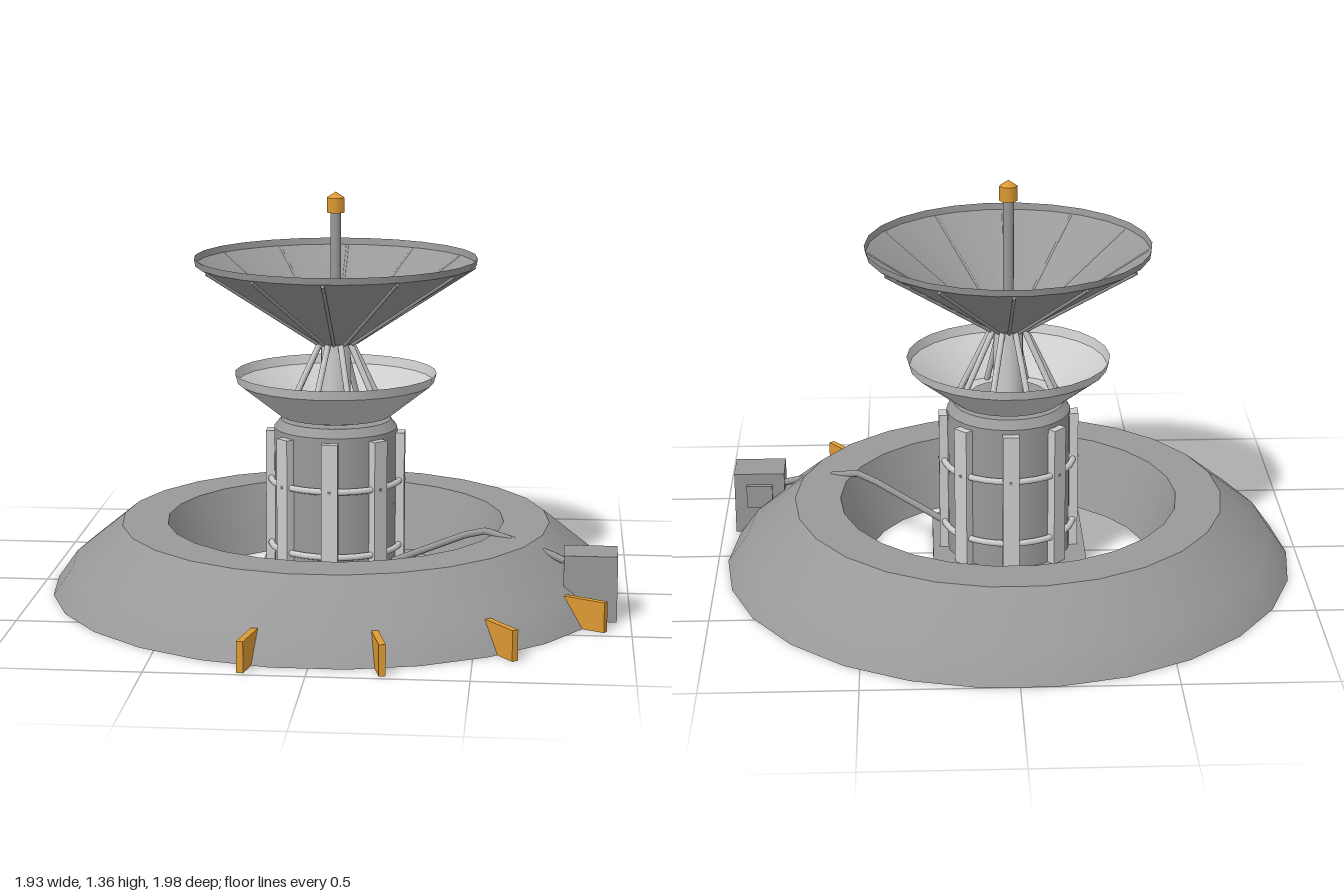
import * as THREE from 'three';

export function createModel() {
  const root = new THREE.Group();
  const model = new THREE.Group();
  model.name = 'dishStation';
  model.position.z = -0.04;
  root.add(model);

  const grey = new THREE.MeshStandardMaterial({ color: 0x999999, side: THREE.DoubleSide });
  grey.name = 'hull grey';
  const light = new THREE.MeshStandardMaterial({ color: 0xcccccc, side: THREE.DoubleSide });
  light.name = 'light grey';
  const orange = new THREE.MeshStandardMaterial({ color: 0xdd9a33 });
  orange.name = 'orange';

  const add = (name, geo, mat, x = 0, y = 0, z = 0, parent = model) => {
    const m = new THREE.Mesh(geo, mat);
    m.name = name;
    m.position.set(x, y, z);
    parent.add(m);
    return m;
  };
  // Each run of points is smooth; edges between runs stay sharp
  const lathe = (name, runs, mat, segs) => {
    const g = new THREE.Group();
    g.name = name;
    model.add(g);
    runs.forEach((run, i) => add(`${name}Surface${i + 1}`, new THREE.LatheGeometry(
      run.map(p => new THREE.Vector2(...p)), segs, Math.PI / 2), mat, 0, 0, 0, g));
  };
  // Straight round bar between two points
  const bar = (name, a, b, r, mat) => {
    const d = b.clone().sub(a);
    const m = add(name, new THREE.CylinderGeometry(r, r, d.length(), 8), mat);
    m.position.copy(a).addScaledVector(d, 0.5);
    m.quaternion.setFromUnitVectors(new THREE.Vector3(0, 1, 0), d.normalize());
  };
  const polar = (r, a, y) => new THREE.Vector3(r * Math.sin(a), y, r * Math.cos(a));

  // Sloped base ring, open underneath
  lathe('baseRing', [
    [[0.967, 0], [0.9, 0.095], [0.73, 0.233]],
    [[0.73, 0.233], [0.575, 0.233]],
    [[0.575, 0.233], [0.487, 0]],
  ], grey, 26);

  // Square platform and tower
  add('platform', new THREE.BoxGeometry(0.52, 0.055, 0.52), grey, 0, 0.0275, 0);
  lathe('tower', [
    [[0.21, 0.05], [0.21, 0.555]],
    [[0.21, 0.555], [0.187, 0.583]],
    [[0.187, 0.583], [0, 0.583]],
  ], grey, 24);
  for (const y of [0.15, 0.375]) {
    const ring = add('towerPipeRing', new THREE.TorusGeometry(0.22, 0.011, 8, 32), light, 0, y, 0);
    ring.rotation.x = Math.PI / 2;
  }
  for (let i = 0; i < 8; i++) {
    const a = i * Math.PI / 4;
    const p = polar(0.221, a, 0.297);
    const panel = add('towerPanel', new THREE.BoxGeometry(0.055, 0.485, 0.03), light, p.x, p.y, p.z);
    panel.rotation.y = a;
    const q = polar(0.235, a, 0.375);
    const bolt = add('towerBolt', new THREE.CylinderGeometry(0.006, 0.006, 0.008, 6), grey, q.x, q.y, q.z);
    bolt.rotation.set(Math.PI / 2, 0, -a, 'YXZ');
    bolt.rotation.y = a;
    bolt.rotation.z = 0;
  }

  // Lower bowl on a short neck
  add('bowlNeck', new THREE.CylinderGeometry(0.13, 0.13, 0.03, 20), grey, 0, 0.59, 0);
  lathe('lowerBowl', [
    [[0, 0.597], [0.19, 0.597]],
    [[0.19, 0.597], [0.333, 0.71]],
    [[0.333, 0.71], [0.342, 0.742]],
  ], light, 26);

  // Column and splayed struts carrying the dish
  add('dishColumn', new THREE.CylinderGeometry(0.05, 0.05, 0.25, 16), light, 0, 0.722, 0);
  for (let i = 0; i < 8; i++) {
    const a = (i + 0.5) * Math.PI / 4;
    bar('dishStrut', polar(0.175, a, 0.6), polar(0.055, a, 0.845), 0.01, light);
  }

  // Upper dish with rim, hub and ribs
  lathe('upperDish', [
    [[0.065, 0.845], [0.473, 1.112]],
    [[0.473, 1.112], [0.477, 1.135]],
  ], grey, 26);
  add('dishHub', new THREE.CylinderGeometry(0.07, 0.065, 0.02, 20), light, 0, 0.852, 0);
  for (let i = 0; i < 12; i++) {
    const a = i * Math.PI / 6;
    bar('dishRib', polar(0.07, a, 0.844), polar(0.468, a, 1.106), 0.006, grey);
  }

  // Feed mast
  add('mast', new THREE.CylinderGeometry(0.018, 0.018, 0.45, 12), grey, 0, 1.08, 0);
  add('mastKnob', new THREE.CylinderGeometry(0.03, 0.03, 0.05, 8), orange, 0, 1.31, 0);
  add('mastTip', new THREE.ConeGeometry(0.03, 0.02, 8), orange, 0, 1.345, 0);

  // Fins around the front of the ring
  const finShape = new THREE.Shape([[0.895, 0.1], [0.965, 0], [1.042, 0], [1.042, 0.1]]
    .map(p => new THREE.Vector2(...p)));
  const finGeo = new THREE.ExtrudeGeometry(finShape, { depth: 0.022, bevelEnabled: false });
  finGeo.translate(0, 0, -0.011);
  for (const deg of [-11.2, 12.9, 37.3, 61.5]) {
    add('fin', finGeo, orange).rotation.y = THREE.MathUtils.degToRad(deg - 90);
  }

  // Equipment box with a hatch on its back
  add('equipmentBox', new THREE.BoxGeometry(0.175, 0.22, 0.14), grey, 0.867, 0.11, 0.315);
  add('boxHatch', new THREE.BoxGeometry(0.09, 0.08, 0.02), grey, 0.867, 0.14, 0.238);

  // Pipe from the tower over the ring and into the box
  const path = new THREE.CurvePath();
  const pts = [[0.2, 0.1, 0.06], [0.45, 0.222, 0.15], [0.52, 0.245, 0.18],
    [0.62, 0.222, 0.22], [0.74, 0.19, 0.26], [0.82, 0.16, 0.29]]
    .map(p => new THREE.Vector3(...p));
  for (let i = 1; i < pts.length; i++) path.add(new THREE.LineCurve3(pts[i - 1], pts[i]));
  add('supplyPipe', new THREE.TubeGeometry(path, 40, 0.012, 8), grey);

  return root;
}
